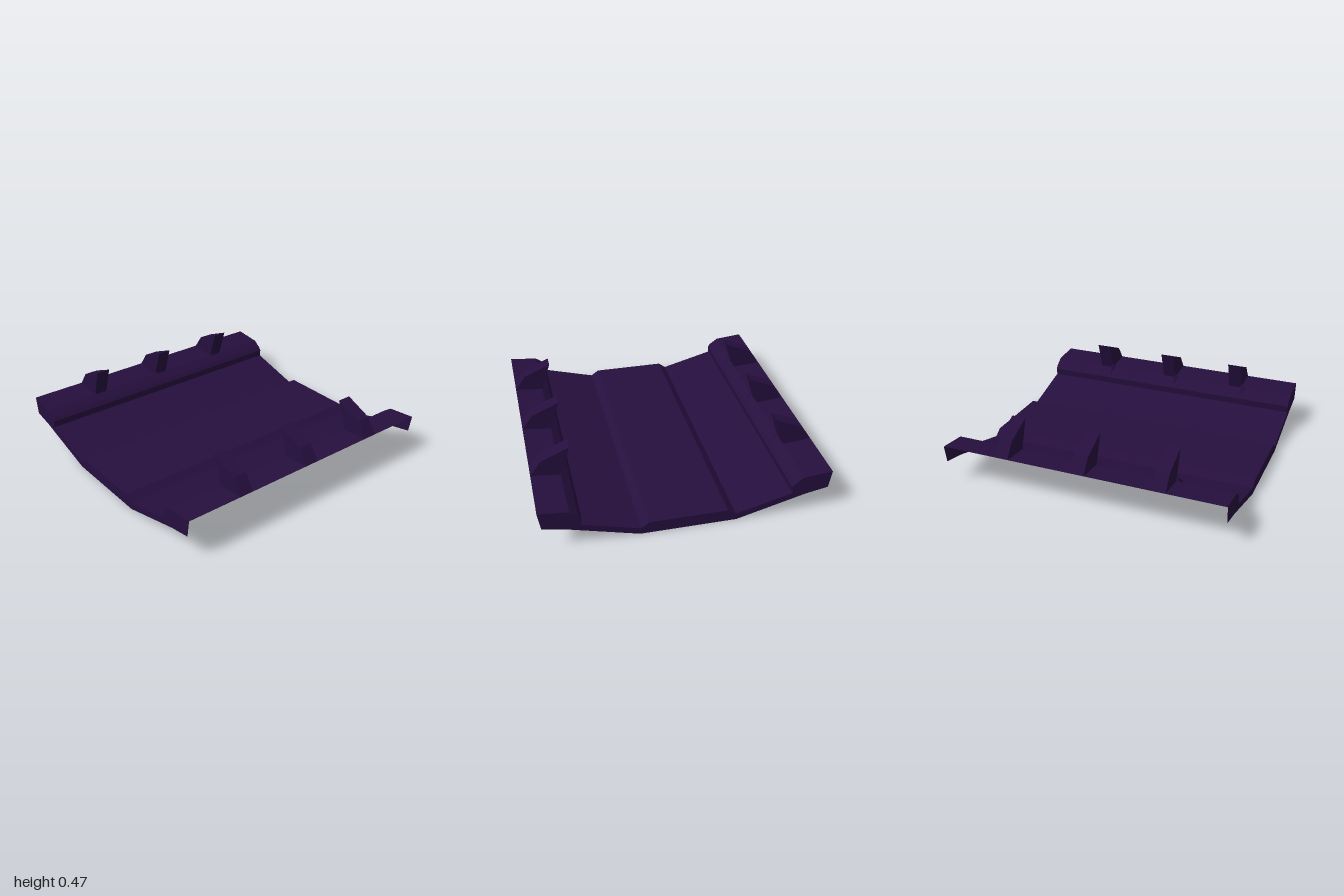
import * as THREE from 'three';

const purple = new THREE.MeshStandardMaterial({ color: 0x260f3e, side: THREE.DoubleSide, flatShading: true });
purple.name = 'darkPurple';
const red = new THREE.MeshStandardMaterial({ color: 0xd41408, side: THREE.DoubleSide, flatShading: true });
red.name = 'lightRed';

// Half of the upper cross-section, from the centre slab out to the rim
const half = [[0.265, 0.085], [0.32, 0.045], [0.705, 0.15], [0.7, 0.2], [0.72, 0.225], [0.775, 0.265], [0.975, 0.285]];
// Half of the underside outline, used only by the end plates
const under = [[0.955, 0.16], [0.8, 0.13], [0.325, 0]];
const mirror = (pts) => pts.map(([x, y]) => [-x, y]).reverse();

function add(group, name, geometry, material) {
  const mesh = new THREE.Mesh(geometry, material);
  mesh.name = name;
  group.add(mesh);
  return mesh;
}

function facets(points) {
  const g = new THREE.BufferGeometry();
  g.setAttribute('position', new THREE.Float32BufferAttribute(points, 3));
  g.computeVertexNormals();
  return g;
}

// Open sheet swept along z from a list of x, y points running toward +x
function sheet(profile, front, back) {
  const p = [];
  for (let i = 0; i < profile.length - 1; i++) {
    const [ax, ay] = profile[i], [bx, by] = profile[i + 1];
    p.push(ax, ay, front, bx, by, front, bx, by, back);
    p.push(ax, ay, front, bx, by, back, ax, ay, back);
  }
  return facets(p);
}

const toShape = (pts) => new THREE.Shape(pts.map(([x, y]) => new THREE.Vector2(x, y)));

export function createModel() {
  const model = new THREE.Group();
  model.name = 'floorSection';

  // Floor, sloping sides and rims as one open shell
  const top = [...mirror(half), ...half];
  add(model, 'floorShell', sheet(top, 1, -1), purple);

  // End plates closing the cross-section
  const outline = [...top, ...under, ...mirror(under)];
  for (const z of [1, -1]) {
    const plate = add(model, z > 0 ? 'frontPlate' : 'backPlate', new THREE.ShapeGeometry(toShape(outline)), purple);
    plate.position.z = z;
    if (z < 0) plate.rotation.y = Math.PI;
  }

  // Hooked ribs, small gussets and light strips on both rims
  const rib = [[0.775, 0.265], [0.975, 0.285], [0.9, 0.39], [0.708, 0.472]];
  const lights = [[0.975, 0.745], [0.51, 0.11], [-0.045, -0.45], [-0.6, -0.95]];
  const strip = [[0.705, 0.2], [0.725, 0.225]];
  for (const side of [1, -1]) {
    const label = side > 0 ? 'left' : 'right';
    const place = (pts) => (side > 0 ? pts : mirror(pts));
    [-0.555, 0, 0.555].forEach((z, i) => {
      const g = new THREE.ExtrudeGeometry(toShape(place(rib)), { depth: 0.1, bevelEnabled: false });
      add(model, label + 'Rib', g, purple).position.z = z - 0.05;
      const f = z + 0.05, d = [0.027, 0.03, 0.053][i];
      const tri = [[0.715, 0.225, f], [0.775, 0.268, f + d], [0.765, 0.295, f]];
      if (side < 0) tri.reverse();
      add(model, label + 'Gusset', facets(tri.flatMap(([x, y, w]) => [side * x, y, w])), purple);
    });
    for (const [a, b] of lights) add(model, label + 'LightStrip', sheet(place(strip), a, b), red);
  }
  return model;
}
